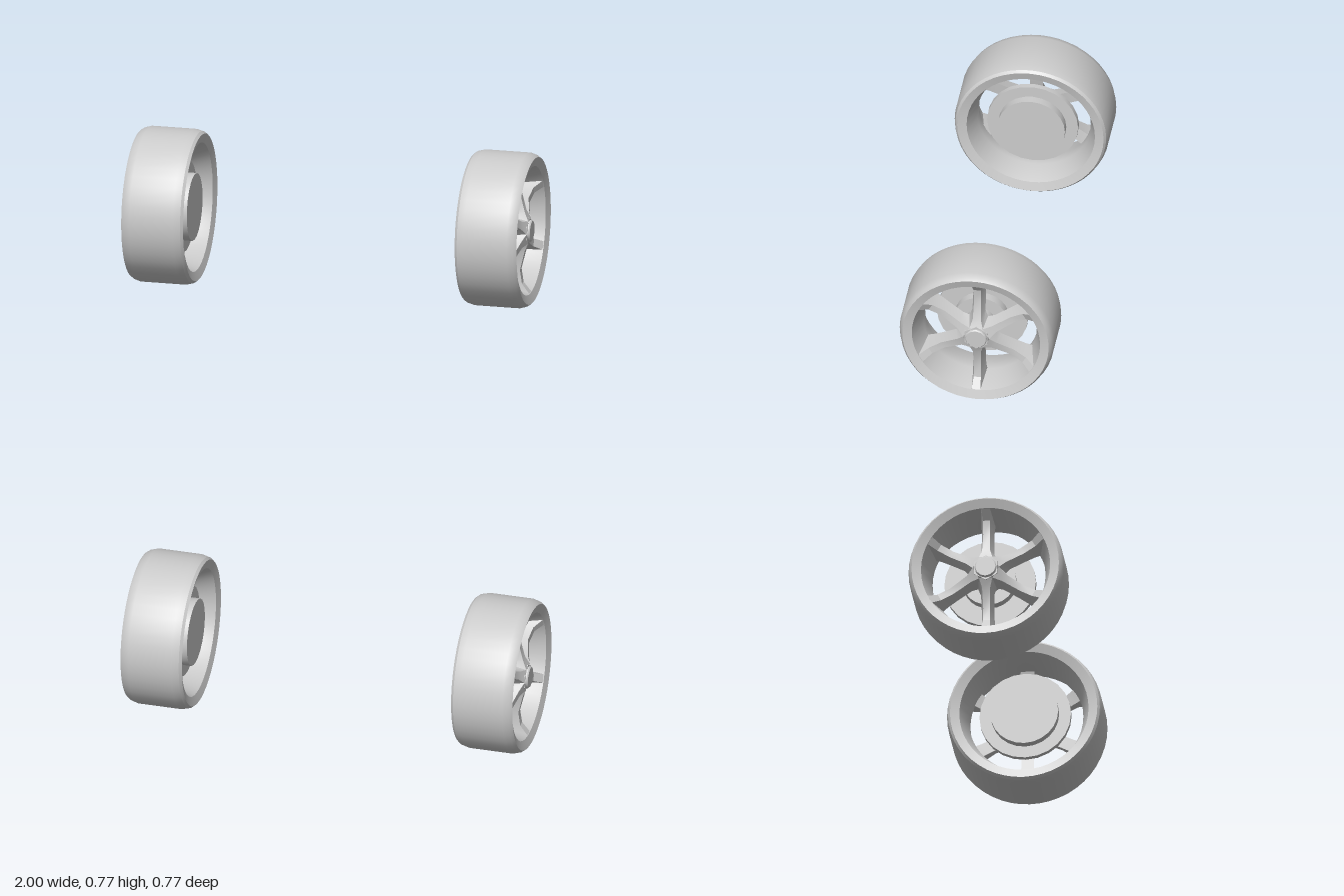
import * as THREE from 'three';
import { toCreasedNormals } from 'three/addons/utils/BufferGeometryUtils.js';

const RADIUS = 0.385;
const grey = new THREE.MeshStandardMaterial({ color: 0xcccccc });

// Revolve [radius, distance along axle] points around the x axis
function turned(name, points, segments, crease = 0.45) {
  const profile = points.map(([r, a]) => new THREE.Vector2(r, a));
  const geometry = new THREE.LatheGeometry(profile, segments).rotateZ(-Math.PI / 2);
  const mesh = new THREE.Mesh(toCreasedNormals(geometry, crease), grey);
  mesh.name = name;
  return mesh;
}

// Loft four-cornered sections running outward along +y
// Each station: front [radius, half width, x], back [radius, half width, x]
function spokeGeometry(stations) {
  const rings = stations.map(([[fr, fw, fx], [br, bw, bx]]) => [
    [fx, fr, -fw], [fx, fr, fw], [bx, br, bw], [bx, br, -bw],
  ]);
  const positions = [];
  for (let i = 0; i < rings.length - 1; i++) {
    const p = rings[i], q = rings[i + 1];
    for (let k = 0; k < 4; k++) {
      const n = (k + 1) % 4;
      positions.push(...p[k], ...q[k], ...p[n], ...p[n], ...q[k], ...q[n]);
    }
  }
  const geometry = new THREE.BufferGeometry();
  geometry.setAttribute('position', new THREE.Float32BufferAttribute(positions, 3));
  return toCreasedNormals(geometry, 0.4);
}

function createWheel() {
  const wheel = new THREE.Group();

  // Tyre and rim barrel as one closed ring
  wheel.add(turned('tyreAndRim', [
    [0.32, 0.70], [0.365, 0.687], [0.376, 0.70], [0.385, 0.735],
    [0.385, 0.955], [0.376, 0.985], [0.365, 1.0], [0.32, 0.985],
    [0.283, 0.86], [0.283, 0.80], [0.32, 0.70],
  ], 48));

  // Six dished spokes, flared at hub and rim
  const spoke = spokeGeometry([
    [[0.057, 0.033, 0.98], [0.08, 0.046, 0.90]],
    [[0.10, 0.02, 0.96], [0.11, 0.033, 0.89]],
    [[0.20, 0.017, 0.935], [0.20, 0.031, 0.87]],
    [[0.27, 0.018, 0.945], [0.25, 0.032, 0.86]],
    [[0.322, 0.022, 0.985], [0.287, 0.036, 0.85]],
  ]);
  for (let i = 0; i < 6; i++) {
    const mesh = new THREE.Mesh(spoke, grey);
    mesh.name = 'spoke';
    mesh.rotation.x = (i * Math.PI) / 3;
    wheel.add(mesh);
  }

  // Six-sided core joining the spokes, corners set between them
  const core = turned('hubCore', [[0, 0.90], [0.092, 0.90], [0.066, 0.98], [0, 0.98]], 6, 0.2);
  core.rotation.x = Math.PI / 6;
  wheel.add(core);

  // Bevelled centre cap
  wheel.add(turned('hubCap', [[0, 0.97], [0.055, 0.97], [0.055, 0.987], [0.05, 0.993], [0, 0.993]], 12, 0.55));

  // Brake drum, disc and axle stub
  wheel.add(turned('brakeAssembly', [
    [0, 0.715], [0.168, 0.715], [0.168, 0.757], [0.227, 0.757], [0.227, 0.785],
    [0.133, 0.785], [0.133, 0.83], [0.07, 0.83], [0.07, 0.91], [0, 0.91],
  ], 24));

  return wheel;
}

export function createModel() {
  const model = new THREE.Group();
  model.name = 'wheelPair';
  for (const side of ['left', 'right']) {
    const wheel = createWheel();
    wheel.name = side + 'Wheel';
    wheel.position.y = RADIUS;
    if (side === 'right') wheel.rotation.y = Math.PI;
    model.add(wheel);
  }
  return model;
}
